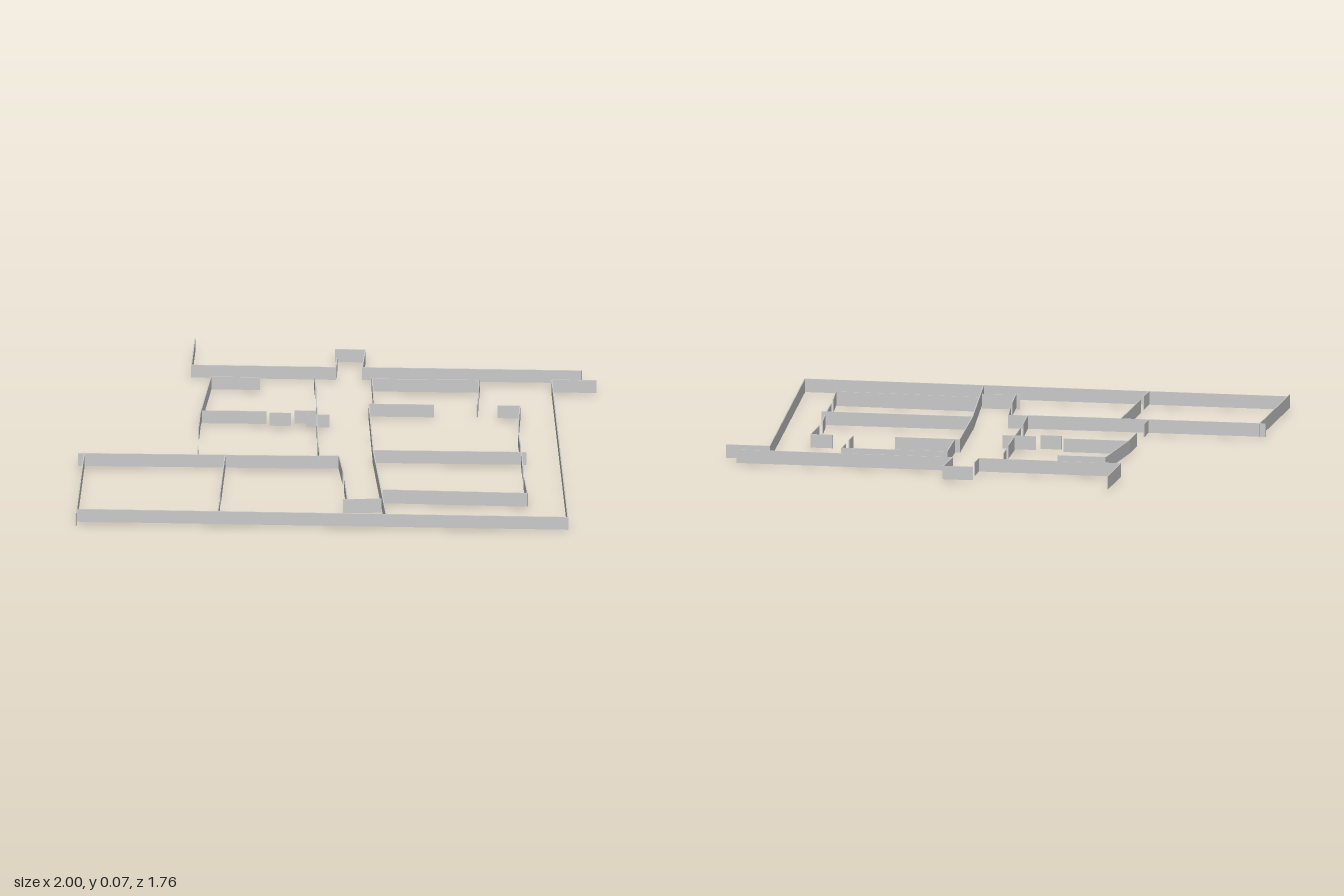
import * as THREE from 'three';

const BASE = 0.008, TOP = 0.061, THICK = 0.004;
const material = new THREE.MeshStandardMaterial({ color: 0xcccccc, flatShading: true });

// A thin upright wall between two plan points [x, z]
function wall(a, b, base, top) {
  const dx = b[0] - a[0], dz = b[1] - a[1];
  const mesh = new THREE.Mesh(new THREE.BoxGeometry(Math.hypot(dx, dz), top - base, THICK), material);
  mesh.position.set((a[0] + b[0]) / 2, (base + top) / 2, (a[1] + b[1]) / 2);
  mesh.rotation.y = -Math.atan2(dz, dx);
  return mesh;
}

// A named group of walls; each run is a chain of plan points
function walls(name, runs, base = BASE, top = TOP) {
  const group = new THREE.Group();
  group.name = name;
  for (const run of runs)
    for (let i = 1; i < run.length; i++) {
      const mesh = wall(run[i - 1], run[i], base, top);
      mesh.name = name + 'Wall';
      group.add(mesh);
    }
  return group;
}

export function createModel() {
  const model = new THREE.Group();
  model.name = 'floorPlan';
  model.add(
    // outer boundary, split by the open passage at the back
    walls('backBoundary', [
      [[-0.58, -0.88], [-0.585, -0.615], [-0.02, -0.61], [-0.02, -0.7]],
      [[-0.03, -0.788], [0.088, -0.788], [0.083, -0.612], [0.94, -0.607]],
    ]),
    walls('frontBoundary', [
      [[1, -0.513], [0.826, -0.513], [0.933, 0.85], [-0.988, 0.832]],
      [[-0.975, 0.268], [-0.987, 0.875]],
    ]),
    // two large rooms at the front right
    walls('frontRooms', [
      [[-1, 0.277], [-0.055, 0.275]],
      [[-0.425, 0.275], [-0.432, 0.67]],
      [[-0.432, 0.73], [-0.435, 0.837]],
      [[-0.533, 0.19], [-0.533, 0.275]],
    ]),
    // rooms at the back right
    walls('backRooms', [
      [[-0.313, -0.5], [-0.505, -0.5], [-0.535, -0.14], [-0.537, 0]],
      [[-0.53, -0.163], [-0.277, -0.163]],
      [[-0.12, -0.137], [-0.03, -0.137]],
    ]),
    walls('raisedPartition', [
      [[-0.265, -0.137], [-0.18, -0.137]],
      [[-0.168, -0.163], [-0.083, -0.163]],
    ], BASE + 0.004, TOP + 0.005),
    // corridor wall with door gaps
    walls('corridor', [
      [[-0.1, -0.505], [-0.093, -0.415]],
      [[-0.088, -0.34], [-0.072, 0.03]],
      [[-0.068, 0.105], [-0.055, 0.275]],
      [[-0.067, 0.27], [0.02, 0.27], [0.042, 0.435]],
      [[0.05, 0.51], [0.066, 0.69]],
    ]),
    // block of rooms on the left
    walls('leftRooms', [
      [[0.14, -0.25], [0.125, -0.5], [0.543, -0.5], [0.543, -0.415]],
      [[0.543, -0.34], [0.543, -0.25]],
      [[0.375, -0.25], [0.12, -0.25], [0.152, 0.21]],
      [[0.623, -0.25], [0.71, -0.25], [0.71, -0.073]],
      [[0.713, 0.022], [0.725, 0.14]],
      [[0.73, 0.2], [0.743, 0.38]],
      [[0.152, 0.21], [0.75, 0.21]],
      [[0.75, 0.46], [0.767, 0.615]],
    ]),
    // walls that reach slightly lower than the rest
    walls('loweredWalls', [
      [[0.152, 0.21], [0.222, 0.84]],
      [[0.2, 0.6], [0.767, 0.617]],
    ], 0.004, TOP),
    walls('lowestPartition', [[[0.05, 0.693], [0.2, 0.685]]], 0, TOP - 0.003),
  );
  return model;
}
